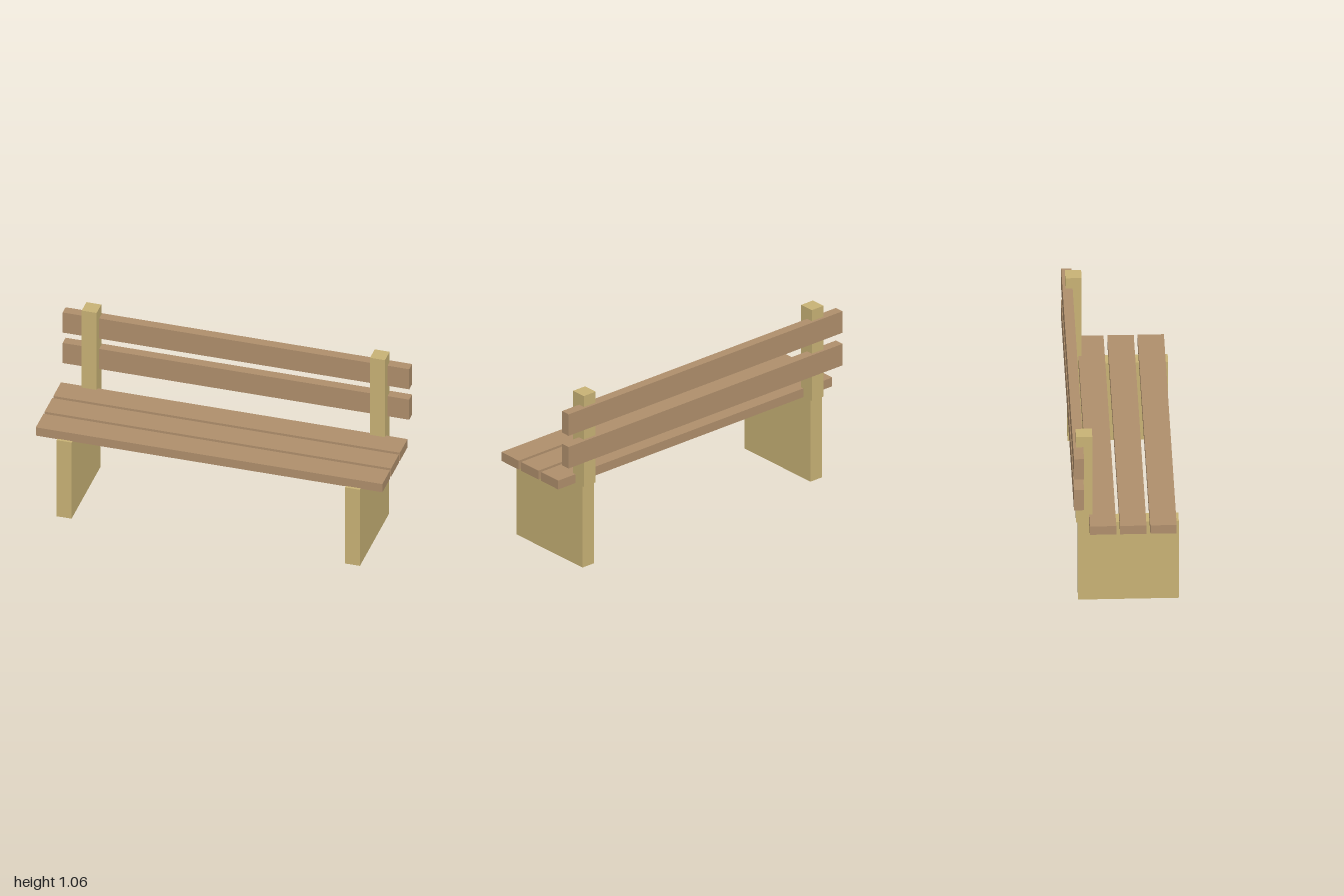
import * as THREE from 'three';

export function createModel() {
  const bench = new THREE.Group();
  bench.name = 'bench';

  const paleWood = new THREE.MeshStandardMaterial({ color: 0xc8b275 });
  paleWood.name = 'paleWood';
  const brownWood = new THREE.MeshStandardMaterial({ color: 0xaf8f6c });
  brownWood.name = 'brownWood';

  // Box given by its centre x, width and the ranges it spans in y and z
  function board(name, material, x, width, [y0, y1], [z0, z1]) {
    const mesh = new THREE.Mesh(new THREE.BoxGeometry(width, y1 - y0, z1 - z0), material);
    mesh.position.set(x, (y0 + y1) / 2, (z0 + z1) / 2);
    mesh.name = name;
    bench.add(mesh);
  }

  // Slab legs with backrest posts standing on them
  for (const [side, sign] of [['left', 1], ['right', -1]]) {
    board(`${side}Leg`, paleWood, sign * 0.832, 0.086, [0, 0.5], [-0.263, 0.293]);
    board(`${side}BackPost`, paleWood, sign * 0.832, 0.086, [0.5, 1.057], [-0.275, -0.185]);
  }

  // Seat slats, front to back
  [0.204, 0.037, -0.13].forEach((z, i) =>
    board(`seatSlat${i + 1}`, brownWood, 0, 2, [0.497, 0.551], [z - 0.073, z + 0.073]));

  // Backrest slats, let into the rear of the posts
  [0.724, 0.924].forEach((y, i) =>
    board(`backSlat${i + 1}`, brownWood, 0, 2, [y - 0.066, y + 0.066], [-0.291, -0.235]));

  return bench;
}
